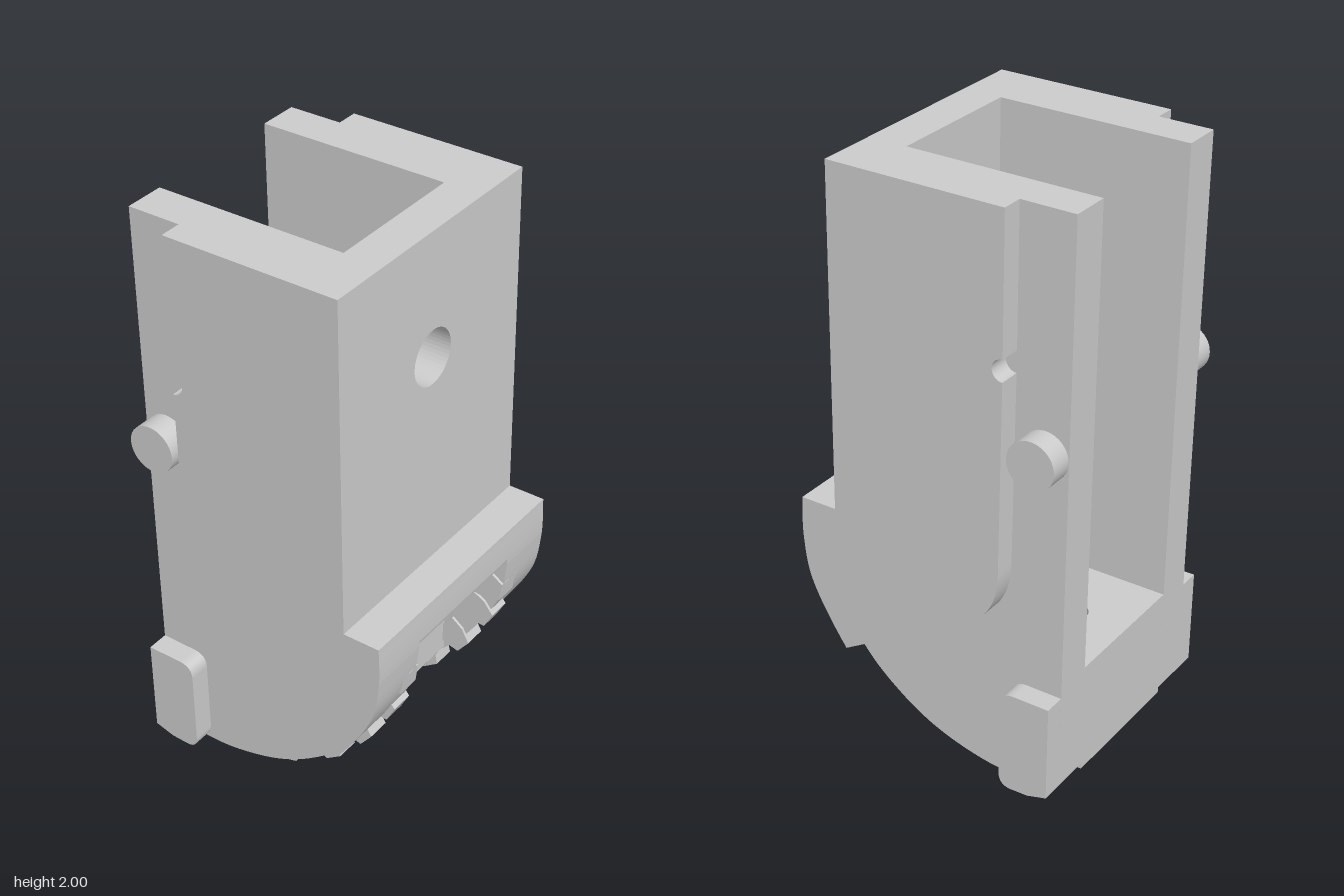
import * as THREE from 'three';

const TOP = 1.99, INNER = 0.243, CORE = 0.377, OUTER = 0.45;
const grey = new THREE.MeshStandardMaterial({ color: 0xcccccc });
const V = (x, y) => new THREE.Vector2(x, y);

// Rounded lower edge, from the front ledge down to the rear foot
const rim = new THREE.SplineCurve([
  V(0.458, 0.85), V(0.457, 0.7), V(0.42, 0.54), V(0.285, 0.325), V(0.15, 0.2),
  V(0, 0.115), V(-0.18, 0.066), V(-0.33, 0.062), V(-0.447, 0.085),
]).getPoints(64);

function extrude(shape, from, to) {
  const g = new THREE.ExtrudeGeometry(shape, { depth: to - from, bevelEnabled: false, curveSegments: 24 });
  return g.translate(0, 0, from);
}

function hole(shape, x, y, r) {
  shape.holes.push(new THREE.Path().absarc(x, y, r, 0, Math.PI * 2, true));
}

function rect(x0, y0, x1, y1) {
  return new THREE.Shape([V(x0, y0), V(x1, y0), V(x1, y1), V(x0, y1)]);
}

export function createModel() {
  const body = new THREE.Group();
  const add = (name, geometry) => {
    const m = new THREE.Mesh(geometry, grey);
    m.name = name;
    body.add(m);
    return m;
  };

  for (const s of [1, -1]) {
    const side = s > 0 ? 'left' : 'right';
    const span = (shape, a, b) => (s > 0 ? extrude(shape, a, b) : extrude(shape, -b, -a));

    // Side wall, the full outline
    const wall = new THREE.Shape([V(-0.45, TOP), V(0.332, TOP), V(0.332, 0.85), ...rim]);
    hole(wall, -0.27, 1.5, 0.036);
    if (s < 0) hole(wall, 0.07, 1.37, 0.036);
    add(side + 'Wall', span(wall, INNER, CORE));

    // Thicker outer panel with a half-round notch in its rear edge
    const panel = new THREE.Shape();
    panel.moveTo(-0.268, TOP);
    panel.lineTo(0.332, TOP);
    panel.lineTo(0.332, 0.85);
    rim.filter((p) => p.y > 0.325).forEach((p) => panel.lineTo(p.x, p.y));
    panel.lineTo(-0.17, 0.63);
    panel.bezierCurveTo(-0.23, 0.67, -0.262, 0.74, -0.262, 0.83);
    panel.lineTo(-0.268, 1.464);
    panel.absarc(-0.268, 1.5, 0.036, -Math.PI / 2, Math.PI / 2, false);
    if (s < 0) hole(panel, 0.07, 1.37, 0.036);
    add(side + 'Panel', span(panel, CORE, OUTER));

    // Foot pad with rounded front corners
    const pad = new THREE.Shape();
    pad.moveTo(-0.447, 0.085);
    pad.lineTo(-0.38, 0.066);
    pad.lineTo(-0.32, 0.064);
    pad.quadraticCurveTo(-0.275, 0.064, -0.275, 0.11);
    pad.lineTo(-0.275, 0.365);
    pad.quadraticCurveTo(-0.275, 0.415, -0.325, 0.415);
    pad.lineTo(-0.447, 0.415);
    add(side + 'FootPad', span(pad, CORE, OUTER));

    // Round pin
    const pin = new THREE.CylinderGeometry(0.08, 0.08, OUTER - CORE + 0.01, 40);
    pin.rotateX(Math.PI / 2).translate(-0.367, 1.23, s * (CORE + OUTER) / 2);
    add(side + 'Pin', pin);

    // Row of teeth along the rounded edge: tip position and outward angle
    const teeth = [
      [-0.222, 0.008, -92], [-0.005, 0.057, -73], [0.18, 0.168, -55],
      [0.308, 0.31, -38], [0.402, 0.468, -28], [0.445, 0.605, -8],
    ];
    const tooth = new THREE.Shape([V(-0.1, -0.055), V(-0.05, -0.055), V(0, -0.033), V(0, 0.033), V(-0.05, 0.055), V(-0.1, 0.055)]);
    for (const [x, y, a] of teeth) {
      const g = span(tooth, 0.234, 0.312);
      g.rotateZ(THREE.MathUtils.degToRad(a)).translate(x, y, 0);
      add(side + 'Tooth', g);
    }
  }

  // Front wall with a large round hole
  const front = rect(-INNER, 0.85, INNER, TOP);
  hole(front, 0, 1.575, 0.092);
  add('frontWall', extrude(front, 0.2, 0.332).rotateY(Math.PI / 2));

  // Ledge bar above the front opening
  const ledge = new THREE.Shape([V(0.2, 0.85), ...rim.filter((p) => p.y > 0.735), V(0.457, 0.73), V(0.2, 0.73)]);
  add('ledge', extrude(ledge, -INNER, INNER));

  // Rear floor block with a vertical drain hole
  const rear = rect(-0.447, -INNER, -0.18, INNER);
  hole(rear, -0.26, 0, 0.046);
  add('rearFloor', extrude(rear, 0.065, 0.45).rotateX(-Math.PI / 2));

  // Front floor block, built in slices to leave a pit above and a slot in front
  const slices = [
    [0.078, INNER, false, false], [0.045, 0.078, true, false],
    [-0.045, 0.045, true, true], [-INNER, -0.045, true, false],
  ];
  for (const [z0, z1, pit, slot] of slices) {
    const pts = [V(-0.18, 0.45)];
    if (pit) pts.push(V(-0.06, 0.45), V(-0.06, 0.32), V(0.2, 0.32), V(0.2, 0.45));
    pts.push(V(0.228, 0.45));
    if (slot) pts.push(V(0.228, 0.31), V(0.04, 0.31));
    else pts.push(V(0.228, 0.27));
    const limit = slot ? 0.04 : 0.225;
    pts.push(...rim.filter((p) => p.x < limit && p.x > -0.175 && p.y < 0.3), V(-0.18, 0.066));
    add('frontFloor', extrude(new THREE.Shape(pts), z0, z1));
  }

  // Curved bottom of the pit
  const scoop = new THREE.Shape();
  scoop.moveTo(INNER, 0.315);
  scoop.lineTo(INNER, 0.43);
  scoop.quadraticCurveTo(0.02, 0.43, -0.078, 0.322);
  scoop.lineTo(-0.078, 0.315);
  add('pitBottom', extrude(scoop, -0.06, 0.2).rotateY(Math.PI / 2));

  // The whole part leans very slightly
  body.name = 'housing';
  body.position.y = -1;
  const lean = new THREE.Group();
  lean.name = 'lean';
  lean.position.y = 1;
  lean.rotation.set(0.0125, 0.006, 0.0085);
  lean.add(body);
  const model = new THREE.Group();
  model.name = 'channelHousing';
  model.add(lean);
  return model;
}
